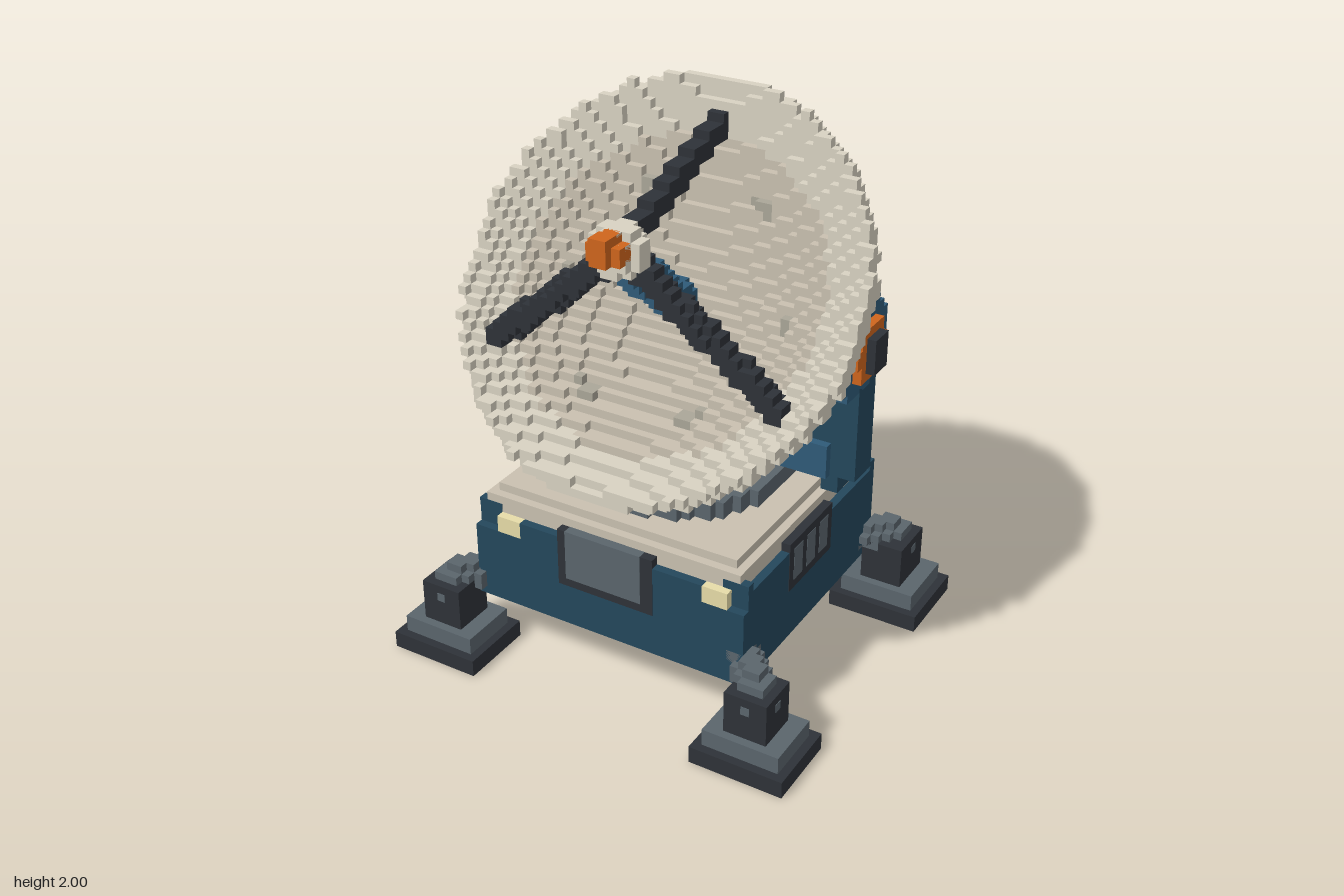
import * as THREE from 'three';

const U = 2 / 63; // one block
const BLUE = 0x24475c, LIGHTBLUE = 0x2f5a78, DARK = 0x2e3238, GREY = 0x5a656c;
const CREAM = 0xc9c0b0, LIGHT = 0xd8d2c2, SHADE = 0xaaa698, ORANGE = 0xcf651d, YELLOW = 0xe6dca8;

const mats = {};
const mat = (c) => (mats[c] ??= new THREE.MeshStandardMaterial({ color: c, flatShading: true }));

// Box from two corners, in blocks
function box(g, name, color, x0, x1, y0, y1, z0, z1) {
  const m = new THREE.Mesh(new THREE.BoxGeometry(Math.abs(x1 - x0), y1 - y0, Math.abs(z1 - z0)), mat(color));
  m.position.set((x0 + x1) / 2, (y0 + y1) / 2, (z0 + z1) / 2);
  m.name = name;
  g.add(m);
}

// Block-built solid: keeps only the outer faces of the cells where inside(centre) holds
function blocks(g, name, color, lo, hi, inside) {
  const pos = [], off = [0.5, 0.5, 0];
  const at = (c) => inside(new THREE.Vector3(c[0] + off[0], c[1] + off[1], c[2] + off[2]));
  const n = hi.map((h, i) => h - lo[i] + 1);
  const filled = new Uint8Array(n[0] * n[1] * n[2]);
  const id = (c) => c.some((v, i) => v < lo[i] || v > hi[i]) ? -1
    : ((c[0] - lo[0]) * n[1] + c[1] - lo[1]) * n[2] + c[2] - lo[2];
  const each = (f) => {
    for (let x = lo[0]; x <= hi[0]; x++) for (let y = lo[1]; y <= hi[1]; y++)
      for (let z = lo[2]; z <= hi[2]; z++) f([x, y, z]);
  };
  each((c) => { filled[id(c)] = at(c) ? 1 : 0; });
  each((c) => {
    if (!filled[id(c)]) return;
    for (let a = 0; a < 3; a++) for (const s of [1, -1]) {
      const nb = [...c];
      nb[a] += s;
      const k = id(nb);
      if (k >= 0 && filled[k]) continue;
      const corner = (i, j) => {
        const p = c.map((v, q) => v + off[q]);
        p[a] += s / 2; p[(a + 1) % 3] += i / 2; p[(a + 2) % 3] += j / 2;
        return p;
      };
      const q = [corner(-1, -1), corner(1, -1), corner(1, 1), corner(-1, 1)];
      if (s < 0) q.reverse();
      for (const i of [0, 1, 2, 0, 2, 3]) pos.push(...q[i]);
    }
  });
  const geo = new THREE.BufferGeometry();
  geo.setAttribute('position', new THREE.Float32BufferAttribute(pos, 3));
  geo.computeVertexNormals();
  const m = new THREE.Mesh(geo, mat(color));
  m.name = name;
  g.add(m);
}

// Stepped bar through a list of points
function bar(g, name, color, r, ...pts) {
  const P = pts.map((p) => new THREE.Vector3(...p)), q = new THREE.Vector3();
  const b = new THREE.Box3().setFromPoints(P).expandByScalar(r + 1);
  blocks(g, name, color, b.min.toArray().map(Math.floor), b.max.toArray().map(Math.ceil), (p) =>
    P.slice(1).some((e, i) => new THREE.Line3(P[i], e).closestPointToPoint(p, true, q).distanceTo(p) < r));
}

// Upright stepped disc
const disc = (g, name, color, r, y0, y1, z) =>
  blocks(g, name, color, [-15, y0, -17], [15, y1 - 1, 15], (p) => Math.hypot(p.x, p.z - z) < r);

export function createModel() {
  const root = new THREE.Group();
  const part = (name) => { const p = new THREE.Group(); p.name = name; root.add(p); return p; };

  // Base cabinet
  const base = part('base');
  box(base, 'cabinet', BLUE, -17, 17, 7, 18, -15.5, 14.5);
  box(base, 'frontPanel', BLUE, -17, 17, 7, 16, 14.5, 15.5);
  box(base, 'frontHeader', BLUE, -11, 12, 16, 18, 14.5, 15.5);
  box(base, 'deck', CREAM, -16, 16, 18, 20, -14.5, 14.5);
  box(base, 'deckTop', CREAM, -15, 15, 20, 21, -13.5, 13.5);
  for (const s of [-1, 1]) {
    box(base, 'rearCorner', BLUE, s * 7.5, s * 17, 18, 19, -15.5, -14.45);
    box(base, 'frontCorner', BLUE, s * 14, s * 17, 18, 19, 13.5, 14.55);
    box(base, 'vent', DARK, s * 16, s * 17.06, 13, 19, -4.5, 5.5);
    for (const z of [-2.5, 0.5, 3.5]) box(base, 'ventPane', GREY, s * 16, s * 17.1, 14, 18, z - 1, z + 1);
  }
  for (const x of [-14, 12]) box(base, 'lamp', YELLOW, x, x + 3, 16, 18, 14, 15.5);
  box(base, 'hatchFrame', DARK, -6, 6, 12, 19, 14, 15.56);
  box(base, 'hatch', GREY, -5, 4.5, 13, 19.02, 14, 15.62);
  box(base, 'rearPanel', SHADE, -7, 8, 12, 19, -15.56, -14.4);
  box(base, 'rearSwitch', ORANGE, 3, 5, 14, 17, -16.5, -15);

  // Four outrigger feet
  for (const s of [-1, 1]) for (const f of [-1, 1]) {
    const foot = part('foot'), a = f > 0 ? 12.5 : -11.5, b = f * 21.5;
    box(foot, 'footPad', DARK, s * 14, s * 25, 0, 2, a, b);
    box(foot, 'footPlate', GREY, s * 15, s * 24, 2, 4, a + f, b - f);
    box(foot, 'footPost', DARK, s * 17, s * 22, 4, 9, a + 2 * f, b - 2 * f);
    box(foot, 'bolt', GREY, s * 19, s * 20, 7, 8, b - 3 * f, b - 1.94 * f);
    box(foot, 'sideBolt', GREY, s * 21, s * 22.06, 7, 8, f * 16.5, f * 17.5);
    bar(foot, 'outriggerArm', GREY, 1.75, [s * 15, 9.5, f * 13], [s * 19.5, 9, f * 17]);
  }

  // Turntable and yoke
  const yoke = part('yoke');
  disc(yoke, 'turntableRing', GREY, 12.5, 21, 23, -1);
  disc(yoke, 'turntable', BLUE, 10, 23, 25, -1);
  disc(yoke, 'turntableCap', DARK, 8.2, 25, 26, -1);
  box(yoke, 'crossBeam', LIGHTBLUE, -17, 17, 23, 27, -8.5, -2.5);
  const cy = 39, cz = -4;
  for (const s of [-1, 1]) {
    box(yoke, 'yokeFoot', BLUE, s * 16, s * 18, 21, 23, -7.5, -3.5);
    box(yoke, 'yokeArm', BLUE, s * 15, s * 20, 23, 36, -7.5, -3.5);
    box(yoke, 'yokeGusset', BLUE, s * 14, s * 15, 25, 29, -7.5, -3.5);
    const x0 = s > 0 ? 14 : -20;
    blocks(yoke, 'bearingHead', LIGHTBLUE, [x0, 33, -10], [x0 + 5, 45, 2], (p) => {
      const y = Math.abs(p.y - cy), z = Math.abs(p.z - cz);
      return y < 5 && z < 5.5 && y + z < 8;
    });
    const xr = s > 0 ? 20 : -21;
    blocks(yoke, 'bearingRing', ORANGE, [xr, 35, -9], [xr, 43, 1], (p) => {
      const y = Math.abs(p.y - cy), z = Math.abs(p.z - cz);
      return (y < 3 && z < 3 || y < 1 && z < 4) && !(y < 2 && z < 2);
    });
    box(yoke, 'bearingHub', DARK, s * 19, s * 22, 37, 41, cz - 1.5, cz + 1.5);
    box(yoke, 'axleCollar', ORANGE, s * 13, s * 14.5, 36, 42, cz - 2.5, cz + 2.5);
  }
  box(yoke, 'axle', GREY, -15, 15, 37, 41, cz - 2.5, cz + 1.5);

  // Rear mast and cable
  const mast = part('mast');
  box(mast, 'mastPost', DARK, -2, 2, 21, 44, -13.5, -9.5);
  box(mast, 'mastCap', GREY, -1, 1, 44, 45, -12.5, -9.5);
  bar(mast, 'cable', DARK, 1.45, [6, 31.5, -12.5], [8, 28.5, -15], [10, 26.5, -18.5]);
  box(mast, 'cableDrop', DARK, 9, 11, 13, 27, -19.5, -17.5);
  box(mast, 'cablePlug', DARK, 9, 11, 13, 16, -17.5, -15);

  // Tilted dish: a shell around a paraboloid about axis n through the rim centre
  const dish = part('dish');
  const C = new THREE.Vector3(0, 44.5, 4), n = new THREE.Vector3(0, 0.617, 0.787);
  const up = new THREE.Vector3(0, 0.787, -0.617), R = 23.3, D = 7;
  const at = (x, t, d) => C.clone().addScaledVector(up, t).addScaledVector(n, d).add(new THREE.Vector3(x, 0, 0)).toArray();
  const local = (p) => {
    const q = p.clone().sub(C), x = q.x, t = q.dot(up), r = Math.hypot(x, t), d = q.dot(n);
    return { x, t, r, d, h: d + D - D * (r / R) ** 2 }; // h: height above the bowl surface
  };
  const lo = [-25, 22, -16], hi = [24, 63, 22];
  const zone = ({ x, t, r, h }) => {
    if (r > R || Math.abs(h) > 1.2) return '';
    if (r > 21 || (r > 18 && h >= 0)) return 'rim';
    if (h < 0) return 'back';
    return r > 13 && r < 14.2 && Math.cos(6 * Math.atan2(t, x)) > 0.75 ? 'back' : 'bowl';
  };
  for (const [key, name, color] of [['rim', 'dishRim', LIGHT], ['bowl', 'dishBowl', CREAM], ['back', 'dishBack', SHADE]])
    blocks(dish, name, color, lo, hi, (p) => zone(local(p)) === key);

  // Ribs and mount behind the dish
  for (const deg of [60, 120, 240, 300]) {
    const c = Math.cos(deg * Math.PI / 180), s = Math.sin(deg * Math.PI / 180);
    blocks(dish, 'rib', LIGHTBLUE, lo, hi, (p) => {
      const { x, t, r, h } = local(p);
      return x * c + t * s > 0 && Math.abs(x * s - t * c) < 1.1 && r < 20.5 && h < -1.2 && h > -2.7;
    });
  }
  blocks(dish, 'dishMount', BLUE, lo, hi, (p) => {
    const { r, d } = local(p);
    return r < 4 && d < -7 && d > -10.5;
  });

  // Feed horn, boom and tripod struts
  const feed = part('feed');
  bar(feed, 'boom', LIGHTBLUE, 1.9, at(0, 0, -6), at(0, 0, 8));
  blocks(feed, 'feedHousing', LIGHT, [-4, 47, 8], [3, 54, 13], (p) =>
    Math.hypot(p.x, p.y - 51.5, p.z - 11.5) < 2.9 && p.z < 14);
  box(feed, 'feedTip', ORANGE, -1, 1, 51, 54, 12.5, 15.5);
  box(feed, 'feedCollar', ORANGE, -2, 2, 51, 53, 12.5, 14.5);
  bar(feed, 'topStrut', DARK, 1.25, at(0, 19.5, -1.5), [0, 52.5, 9]);
  for (const s of [-1, 1])
    bar(feed, 'sideStrut', DARK, 1.3, [s * 17, 37, 9], [s * 2, 49.5, 10.5]);

  root.scale.setScalar(U);
  const model = new THREE.Group();
  model.name = 'dishStation';
  model.add(root);
  return model;
}
